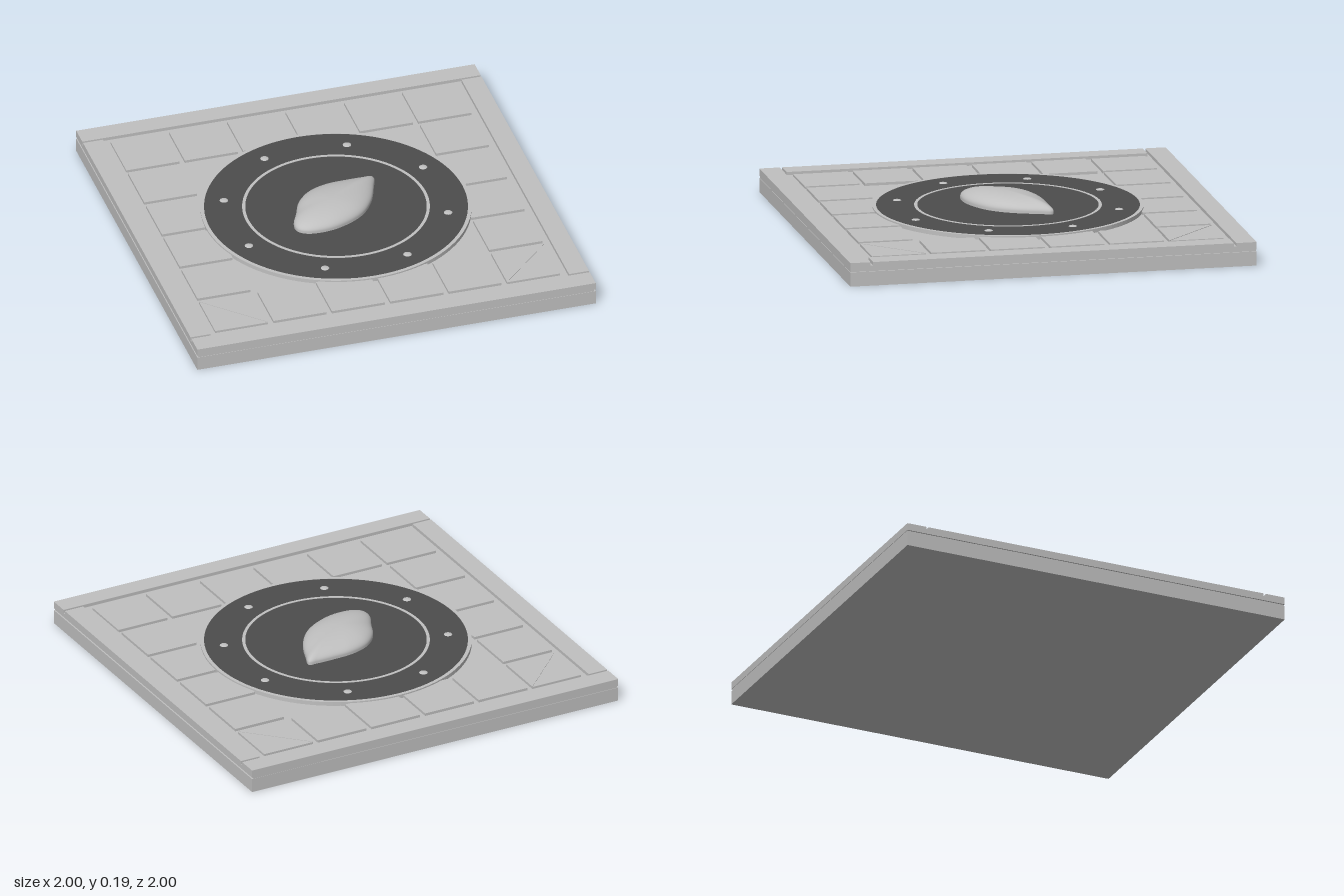
import * as THREE from 'three';

export function createModel() {
  const model = new THREE.Group();
  const grey = new THREE.MeshStandardMaterial({ color: 0xc0c0c0 });
  grey.name = 'light grey';
  const dark = new THREE.MeshStandardMaterial({ color: 0x4d4d4d });
  dark.name = 'dark grey';

  const add = (name, geometry, material, x = 0, y = 0, z = 0) => {
    const mesh = new THREE.Mesh(geometry, material);
    mesh.name = name;
    mesh.position.set(x, y, z);
    model.add(mesh);
    return mesh;
  };
  // Box given by its centre in plan and its bottom and top heights
  const slab = (name, w, d, y0, y1, x = 0, z = 0) =>
    add(name, new THREE.BoxGeometry(w, y1 - y0, d), grey, x, (y0 + y1) / 2, z);

  // Base with a fine groove round its sides
  slab('baseLower', 2, 2, 0, 0.07);
  slab('baseGroove', 1.986, 1.996, 0.07, 0.08);
  slab('baseUpper', 2, 2, 0.08, 0.1);

  // Raised border
  for (const s of [-1, 1]) {
    slab('borderRail', 2, 0.1, 0.1, 0.116, 0, s * 0.95);
    slab('borderSide', 0.1, 1.776, 0.1, 0.116, s * 0.95, 0);
  }

  // Outer ring of a 6 x 6 grid of paving tiles
  const pitch = 0.293, size = 0.266;
  for (let i = 0; i < 6; i++) {
    for (let j = 0; j < 6; j++) {
      const edgeX = i === 0 || i === 5, edgeZ = j === 0 || j === 5;
      if (!edgeX && !edgeZ) continue;
      const x = (i - 2.5) * pitch - 0.003, z = (j - 2.5) * pitch - 0.003;
      if (edgeX && edgeZ) {
        // Corner tile: level square with a slightly lower triangle outside the diagonal
        const sx = Math.sign(x), sz = Math.sign(z), h = size / 2;
        const shape = new THREE.Shape([
          new THREE.Vector2(-sx * h, sz * h),
          new THREE.Vector2(-sx * h, -sz * h),
          new THREE.Vector2(sx * h, -sz * h),
        ].map((p) => new THREE.Vector2(p.x, -p.y)));
        const half = new THREE.ExtrudeGeometry(shape, { depth: 0.013, bevelEnabled: false });
        half.rotateX(-Math.PI / 2);
        add('cornerTileInner', half, grey, x, 0.1, z);
        slab('cornerTile', size, size, 0.1, 0.111, x, z);
      } else {
        slab('tile', size, size, 0.1, 0.113, x, z);
      }
    }
  }

  // Round plate with two pale rings
  add('disc', new THREE.CylinderGeometry(0.64, 0.64, 0.019, 96), dark, 0, 0.1095, 0);
  const ring = (name, inner, outer, top) => {
    const profile = [[outer, 0.1], [outer, top], [inner, top], [inner, 0.1]];
    const geometry = new THREE.LatheGeometry(profile.map((p) => new THREE.Vector2(...p)), 96).toNonIndexed();
    geometry.computeVertexNormals();
    add(name, geometry, grey);
  };
  ring('outerRing', 0.634, 0.652, 0.12);
  ring('innerRing', 0.436, 0.451, 0.1205);

  // Eight domed studs
  for (const [a, b] of [[0.5, 0.207], [0.207, 0.5]]) {
    for (const sx of [-1, 1]) {
      for (const sz of [-1, 1]) {
        const dome = new THREE.SphereGeometry(0.021, 20, 8, 0, Math.PI * 2, 0, Math.PI / 2);
        add('stud', dome, grey, sx * a, 0.118, sz * b).scale.y = 0.3;
      }
    }
  }

  // Leaf-shaped domed stone: closed outline, swept up to its crown
  const outline = [
    [0.24, -0.17], [0.22, -0.1], [0.17, 0.02], [0.1, 0.11], [0, 0.17], [-0.1, 0.197],
    [-0.2, 0.19], [-0.24, 0.16], [-0.245, 0.11], [-0.21, 0.03], [-0.17, -0.06],
    [-0.1, -0.13], [0, -0.167], [0.1, -0.174], [0.2, -0.174],
  ];
  const curve = new THREE.CatmullRomCurve3(
    outline.map(([x, z]) => new THREE.Vector3(x, 0, z)), true, 'centripetal');
  const rim = curve.getSpacedPoints(80).slice(0, 80);
  const rows = 16, n = rim.length, cx = -0.03, cz = 0.02;
  const positions = [], index = [];
  for (let r = 0; r <= rows + 1; r++) {
    const angle = (Math.max(r - 1, 0) / rows) * Math.PI / 2;
    const t = Math.cos(angle);
    const y = r === 0 ? 0.115 : 0.13 + 0.06 * Math.sin(angle);
    for (const p of rim) positions.push(cx + (p.x - cx) * t, y, cz + (p.z - cz) * t);
  }
  for (let r = 0; r <= rows; r++) {
    for (let k = 0; k < n; k++) {
      const a = r * n + k, b = r * n + (k + 1) % n;
      index.push(a, b, a + n);
      if (r < rows) index.push(b, b + n, a + n);
    }
  }
  // Outline runs clockwise seen from below, so swap corners to face outward
  const stone = new THREE.BufferGeometry();
  stone.setAttribute('position', new THREE.Float32BufferAttribute(positions, 3));
  const area = rim.reduce((s, p, k) => s + p.x * rim[(k + 1) % n].z - p.z * rim[(k + 1) % n].x, 0);
  if (area > 0) index.reverse();
  stone.setIndex(index);
  stone.computeVertexNormals();
  // The crown row is one point, so it shares one upward normal
  for (let k = 0; k < n; k++) stone.attributes.normal.setXYZ((rows + 1) * n + k, 0, 1, 0);
  add('stone', stone, grey);

  return model;
}
